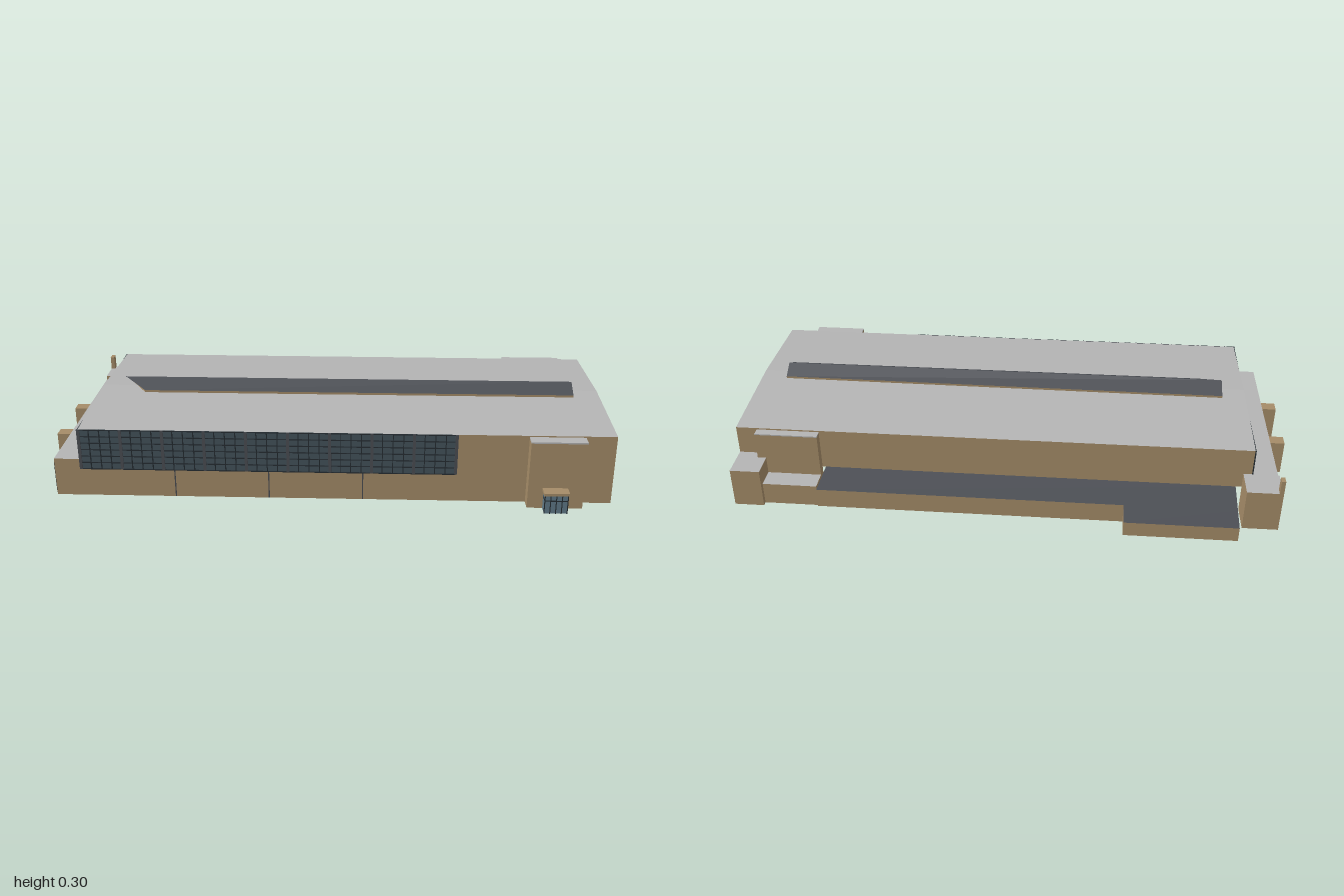
import * as THREE from 'three';

const WALL = 0xa58c68, ROOF = 0xb4b4b4, DARK = 0x4a4d53, GLASS = 0x43525b, FRAME = 0x252d32, TRIM = 0x7d8a8c;
const mats = {};
const mat = (color) => (mats[color] ??= new THREE.MeshStandardMaterial({ color, side: THREE.DoubleSide, flatShading: true }));

export function createModel() {
  const model = new THREE.Group();
  model.name = 'building';

  // Plan frame: s runs along the hall, t across it; the hall stands diagonally.
  const hall = new THREE.Group();
  hall.name = 'hall';
  hall.position.set(-0.87, 0, -0.4);
  hall.rotation.y = -Math.atan2(0.778, 0.628);
  model.add(hall);

  // Flat convex panel from [s, y, t] corners
  function panel(name, color, pts) {
    const g = new THREE.BufferGeometry();
    const pos = [];
    for (let i = 1; i < pts.length - 1; i++)
      for (const [s, y, t] of [pts[0], pts[i], pts[i + 1]]) pos.push(s, y, -t);
    g.setAttribute('position', new THREE.Float32BufferAttribute(pos, 3));
    g.computeVertexNormals();
    const m = new THREE.Mesh(g, mat(color));
    m.name = name;
    hall.add(m);
  }
  // Upright wall between two plan points
  const wall = (name, color, s0, t0, s1, t1, y0, y1) =>
    panel(name, color, [[s0, y0, t0], [s1, y0, t1], [s1, y1, t1], [s0, y1, t0]]);
  // Solid box from plan limits
  function block(name, color, s0, s1, y0, y1, t0, t1) {
    const m = new THREE.Mesh(new THREE.BoxGeometry(s1 - s0, y1 - y0, t1 - t0), mat(color));
    m.position.set((s0 + s1) / 2, (y0 + y1) / 2, -(t0 + t1) / 2);
    m.name = name;
    hall.add(m);
  }
  // Open-bottomed low volume with a coloured flat roof; one wall can be left out against the hall
  function shell(name, s0, s1, t0, t1, h, roof, skip = '') {
    const sides = { a: [s0, t0, s0, t1], b: [s1, t0, s1, t1], c: [s0, t0, s1, t0], d: [s0, t1, s1, t1] };
    for (const k in sides) if (!skip.includes(k)) wall(name + 'Wall', WALL, ...sides[k], 0, h);
    panel(name + 'Roof', roof, [[s0, h, t0], [s1, h, t0], [s1, h, t1], [s0, h, t1]]);
  }

  const L = 1.793, W = 0.742, E = 0.245, R = 0.262, mid = 0.365;

  // Hall walls
  wall('endWall', WALL, L, 0, L, W, 0, E);
  panel('endGable', WALL, [[L, E, 0], [L, E, W], [L, R, mid]]);
  wall('rearGlazing', GLASS, 0, 0, 0, W, 0.135, E);
  panel('rearGable', WALL, [[0, E, 0], [0, E, W], [0, R, mid]]);
  const GL = 1.266;
  wall('plinthWall', WALL, 0, 0, GL, 0, 0, 0.1);
  wall('longGlazing', GLASS, 0, 0, GL, 0, 0.1, E);
  wall('entranceWall', WALL, GL, 0, L, 0, 0, E);
  wall('wingSideWall', WALL, 0, W, L, W, 0.095, E);
  wall('lowSideWall', WALL, 1.5, W, L, W, 0, 0.095);

  // Shallow pitched roof
  for (const t of [0, W])
    panel('mainRoof', ROOF, [[0, E, t], [L, E, t], [L, R, mid], [0, R, mid]]);

  // Roof monitor with its trimmed rear corner
  const y0 = 0.262, y1 = 0.297;
  const m0 = [[0.165, y0 + 0.005, 0.304], [0.085, y1, 0.362], [0.085, y0 + 0.005, 0.425]];
  const m1 = [[1.7, y0 + 0.005, 0.306], [1.7, y1, 0.363], [1.7, y0 + 0.005, 0.415]];
  for (let i = 0; i < 2; i++) panel('monitorRoof', DARK, [m0[i], m1[i], m1[i + 1], m0[i + 1]]);
  for (const m of [m0, m1]) {
    panel('monitorGable', WALL, m);
    panel('monitorCurb', WALL, [m[0], m[2], [m[2][0], 0.25, m[2][2]], [m[0][0], 0.25, m[0][2]]]);
  }
  for (const k of [0, 2]) wall('monitorSide', WALL, m0[k][0], m0[k][2], m1[k][0], m1[k][2], 0.25, y0 + 0.005);

  // Mullions and rails of the long glazing
  const bays = 9;
  for (let i = 0; i <= bays * 4; i++) {
    const s = (GL * i) / (bays * 4), w = i % 4 ? 0.0015 : 0.005;
    block('longMullion', i % 4 ? FRAME : DARK, s - w, s + w, 0.1, E, -0.004, 0.002);
  }
  for (let j = 0; j <= 6; j++) {
    const y = 0.1 + (0.143 * j) / 6;
    block('longRail', FRAME, 0, GL, y - 0.0015, y + 0.0015, -0.003, 0.001);
  }
  for (const s of [0.318, 0.637, 0.955]) block('plinthJoint', DARK, s - 0.002, s + 0.002, 0, 0.1, -0.001, 0.001);

  // Mullions of the rear glazing
  for (let i = 0; i <= 14; i++) {
    const t = (W * i) / 14;
    block('rearMullion', FRAME, -0.003, 0.001, 0.135, E, t - 0.0015, t + 0.0015);
  }
  for (const y of [0.17, 0.208, 0.243]) block('rearRail', FRAME, -0.003, 0.001, y - 0.0015, y + 0.0015, 0, W);

  // Rear annex with piers and window bays
  const AS = -0.092;
  shell('annex', AS, 0, 0, W, 0.135, ROOF, 'b');
  shell('annexCorner', AS, 0.03, W, 0.85, 0.15, ROOF);
  block('cornerFin', WALL, AS, AS + 0.014, 0.14, 0.2, 0.825, 0.85);
  for (const t of [0.225, 0.46]) block('annexPier', WALL, -0.146, AS, 0, 0.125, t, t + 0.044);
  for (const [a, b] of [[0.005, 0.222], [0.272, 0.457], [0.508, 0.7]]) {
    block('annexBay', 0x454a48, AS - 0.003, AS, 0.005, 0.122, a, b);
    const w = (b - a) / 3;
    for (let c = 0; c < 3; c++)
      for (const y of [0.015, 0.072]) {
        const t = a + w * c + 0.008, e = t + w - 0.016;
        block('annexWindow', GLASS, AS - 0.005, AS, y, y + 0.042, t, e);
        block('annexWindowBar', TRIM, AS - 0.007, AS, y, y + 0.042, (t + e) / 2 - 0.0015, (t + e) / 2 + 0.0015);
        block('annexWindowSill', TRIM, AS - 0.007, AS, y + 0.02, y + 0.023, t, e);
      }
  }

  // Low side wing: sloping dark roof with a wider stretch at the rear
  const s0 = 0.05, s1 = 0.435, s2 = 1.5, tm = 0.848, to = 0.922;
  panel('wingRoof', DARK, [[s0, 0.095, W], [s2 - 0.012, 0.095, W], [s2, 0.07, tm], [s0, 0.07, tm]]);
  panel('wingWideRoof', DARK, [[s0, 0.07, tm], [s1, 0.07, tm], [s1, 0.053, to], [s0, 0.053, to]]);
  wall('wingWall', WALL, s1, tm, s2, tm, 0, 0.07);
  wall('wingWideWall', WALL, s0, to, s1, to, 0, 0.053);
  panel('wingStep', WALL, [[s1, 0, tm], [s1, 0, to], [s1, 0.053, to], [s1, 0.07, tm]]);
  panel('wingRearWall', WALL, [[s0, 0, W], [s0, 0, to], [s0, 0.053, to], [s0, 0.07, tm], [s0, 0.095, W]]);

  // Stepped blocks at the far corner of the wing
  shell('stepBlock', s2, 1.69, W, 0.843, 0.08, ROOF, 'c');
  shell('cornerBlock', 1.69, L, W, 0.86, 0.142, ROOF, 'c');
  block('sideProjection', WALL, s2, 1.72, 0.08, 0.236, W, 0.772);
  block('sideProjectionRoof', ROOF, s2, 1.72, 0.236, 0.24, W, 0.772);

  // Entrance bay and glazed vestibule
  block('entranceBay', WALL, 1.505, 1.69, 0, 0.236, -0.042, 0);
  block('entranceBayRoof', ROOF, 1.505, 1.69, 0.236, 0.241, -0.042, 0);
  block('vestibule', 0x5f7886, 1.557, 1.633, 0, 0.066, -0.08, -0.042);
  block('vestibuleRoof', WALL, 1.553, 1.637, 0.066, 0.075, -0.084, -0.042);
  for (let i = 0; i <= 4; i++) {
    const s = 1.557 + 0.019 * i;
    block('doorFrame', FRAME, s - 0.0015, s + 0.0015, 0, 0.066, -0.082, -0.079);
  }
  block('doorRail', FRAME, 1.556, 1.634, 0.045, 0.048, -0.082, -0.042);
  return model;
}
